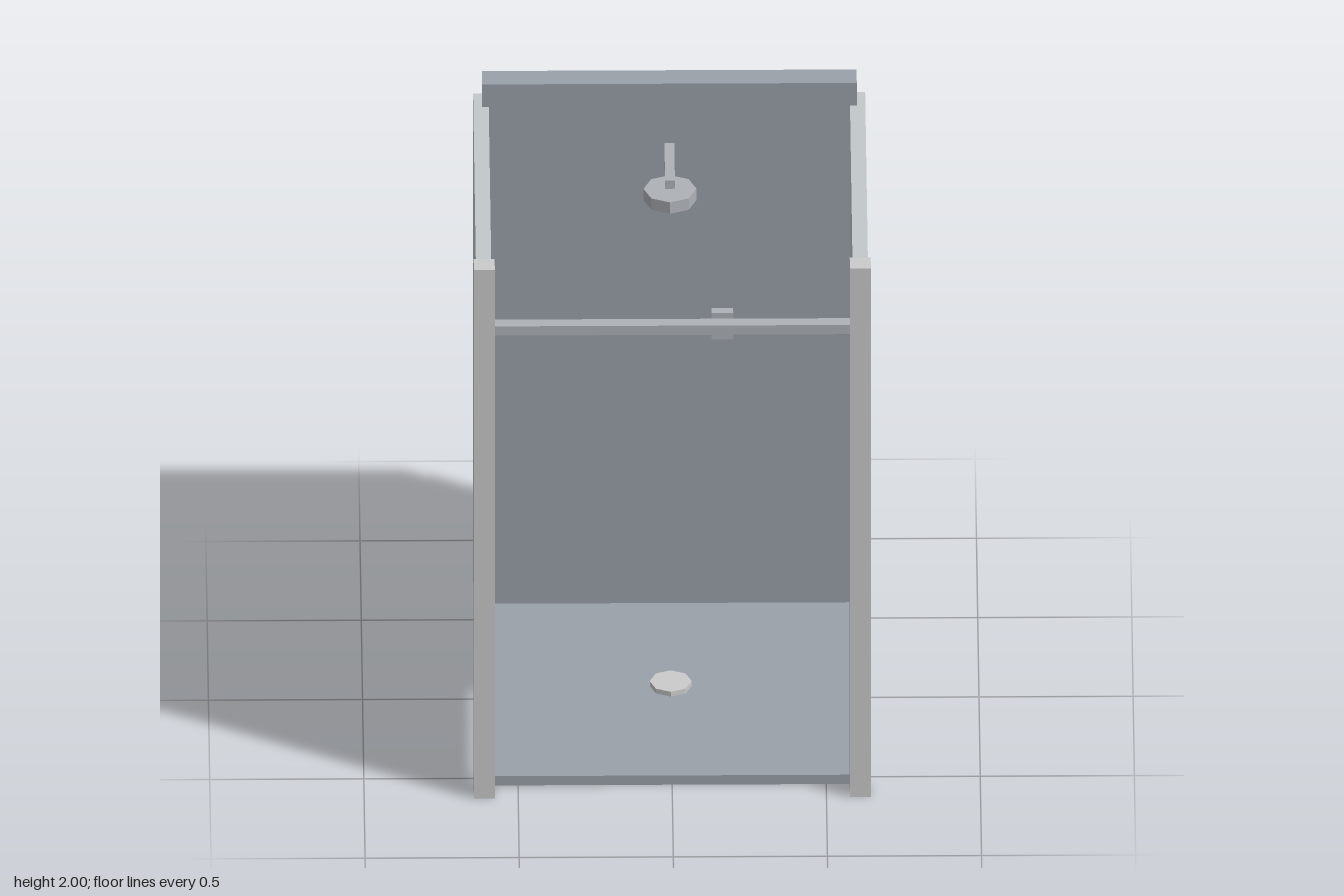
import * as THREE from 'three';

const material = (color) => new THREE.MeshStandardMaterial({ color, flatShading: true });

export function createModel() {
  const group = new THREE.Group();
  const frame = material(0xcccccc);
  const slab = material(0x9ba1aa);
  const panel = material(0xc2c8ca);
  const metal = material(0xaeb2b8);

  // Box given by its extents on each axis
  function box(name, mat, [x0, x1], [y0, y1], [z0, z1]) {
    const mesh = new THREE.Mesh(new THREE.BoxGeometry(x1 - x0, y1 - y0, z1 - z0), mat);
    mesh.position.set((x0 + x1) / 2, (y0 + y1) / 2, (z0 + z1) / 2);
    mesh.name = name;
    group.add(mesh);
  }

  // Eight-sided disc with corners on the axes
  function disc(name, mat, radius, [y0, y1], z) {
    const mesh = new THREE.Mesh(new THREE.CylinderGeometry(radius, radius, y1 - y0, 8), mat);
    mesh.position.set(0, (y0 + y1) / 2, z);
    mesh.name = name;
    group.add(mesh);
  }

  // Floor tray and back wall
  box('floor', slab, [-0.608, 0.608], [0, 0.035], [-0.545, 0.545]);
  box('backWall', slab, [-0.608, 0.608], [0, 2], [-0.627, -0.542]);

  // Raised side panels and front corner posts, mirrored
  for (const [side, s] of [['left', 1], ['right', -1]]) {
    const span = (a, b) => (s > 0 ? [a, b] : [-b, -a]);
    box(side + 'Panel', panel, span(0.586, 0.636), [0.09, 1.915], [-0.626, 0.558]);
    box(side + 'Post', frame, span(0.576, 0.644), [0, 2], [0.557, 0.627]);
  }

  // Curtain rail between the posts
  box('curtainRail', metal, [-0.58, 0.58], [1.741, 1.776], [0.567, 0.61]);

  // Shower head on its arm, and the control on the back wall
  box('showerArm', metal, [-0.016, 0.016], [1.743, 1.775], [-0.545, -0.308]);
  disc('showerHead', metal, 0.086, [1.7, 1.743], -0.308);
  box('control', metal, [0.137, 0.207], [1.05, 1.15], [-0.545, -0.51]);

  // Drain cover in the floor
  disc('drain', frame, 0.068, [0.03, 0.053], -0.02);

  return group;
}
